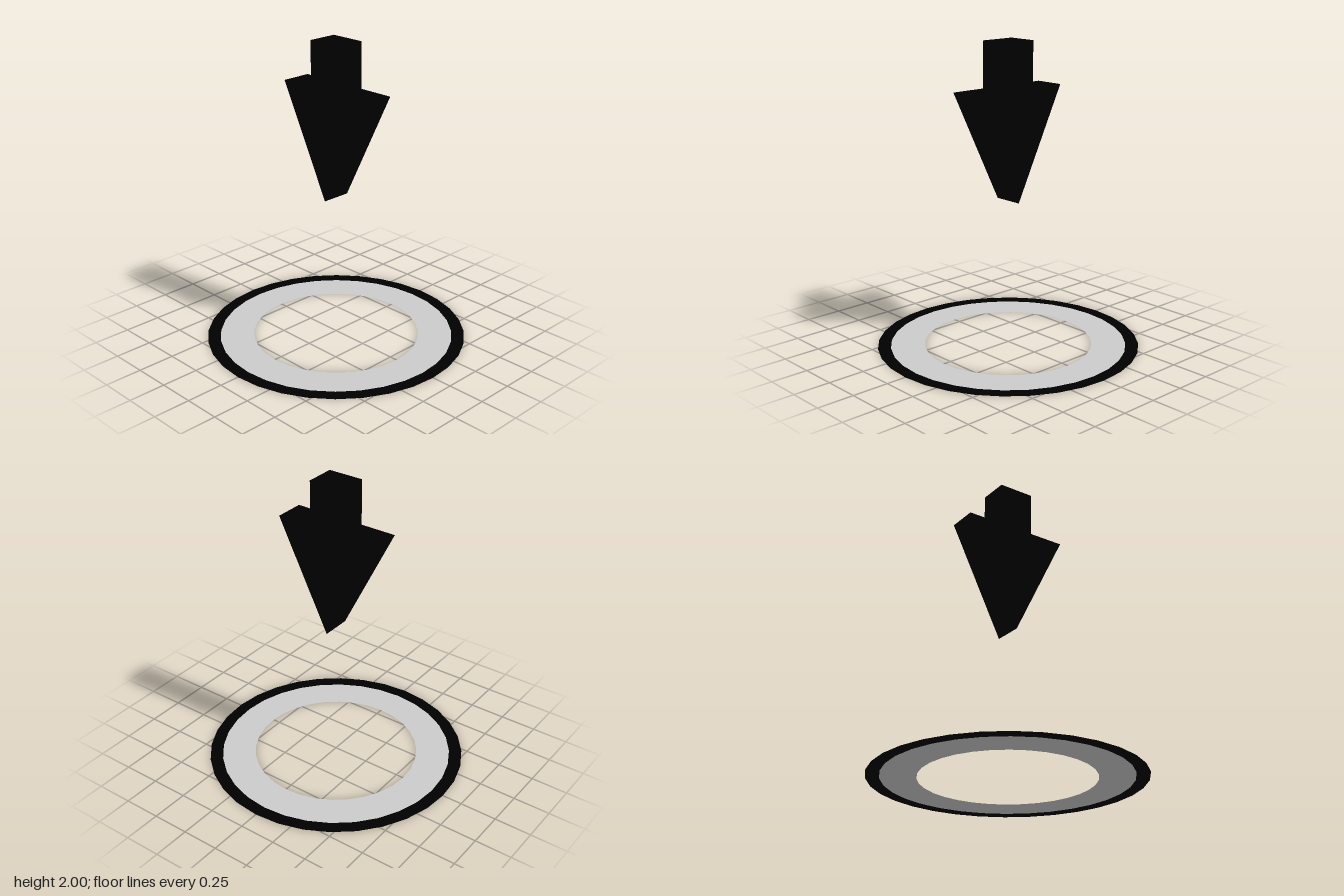
import * as THREE from 'three';

export function createModel() {
  const model = new THREE.Group();
  const grey = new THREE.MeshStandardMaterial({ color: 0xcccccc, side: THREE.DoubleSide });
  const black = new THREE.MeshStandardMaterial({ color: 0x000000, flatShading: true });
  const blackFlat = new THREE.MeshStandardMaterial({ color: 0x000000, side: THREE.DoubleSide });

  const add = (name, geometry, material) => {
    const mesh = new THREE.Mesh(geometry, material);
    mesh.name = name;
    model.add(mesh);
  };

  // Flat concentric rings on the ground
  const ring = (inner, outer) => new THREE.RingGeometry(inner, outer, 32).rotateX(-Math.PI / 2);
  add('innerRing', ring(0.553, 0.778), grey);
  add('outerRim', ring(0.778, 0.863), blackFlat);

  // Downward arrow floating above the rings
  const outline = new THREE.Shape([
    [0, 0.97], [0.365, 1.7], [0.121, 1.7], [0.121, 2],
    [-0.121, 2], [-0.121, 1.7], [-0.365, 1.7],
  ].map(([x, y]) => new THREE.Vector2(x, y)));
  const depth = 0.2;
  const arrow = new THREE.ExtrudeGeometry(outline, { depth, bevelEnabled: false });
  add('arrow', arrow.translate(0, 0, -depth / 2), black);

  return model;
}
